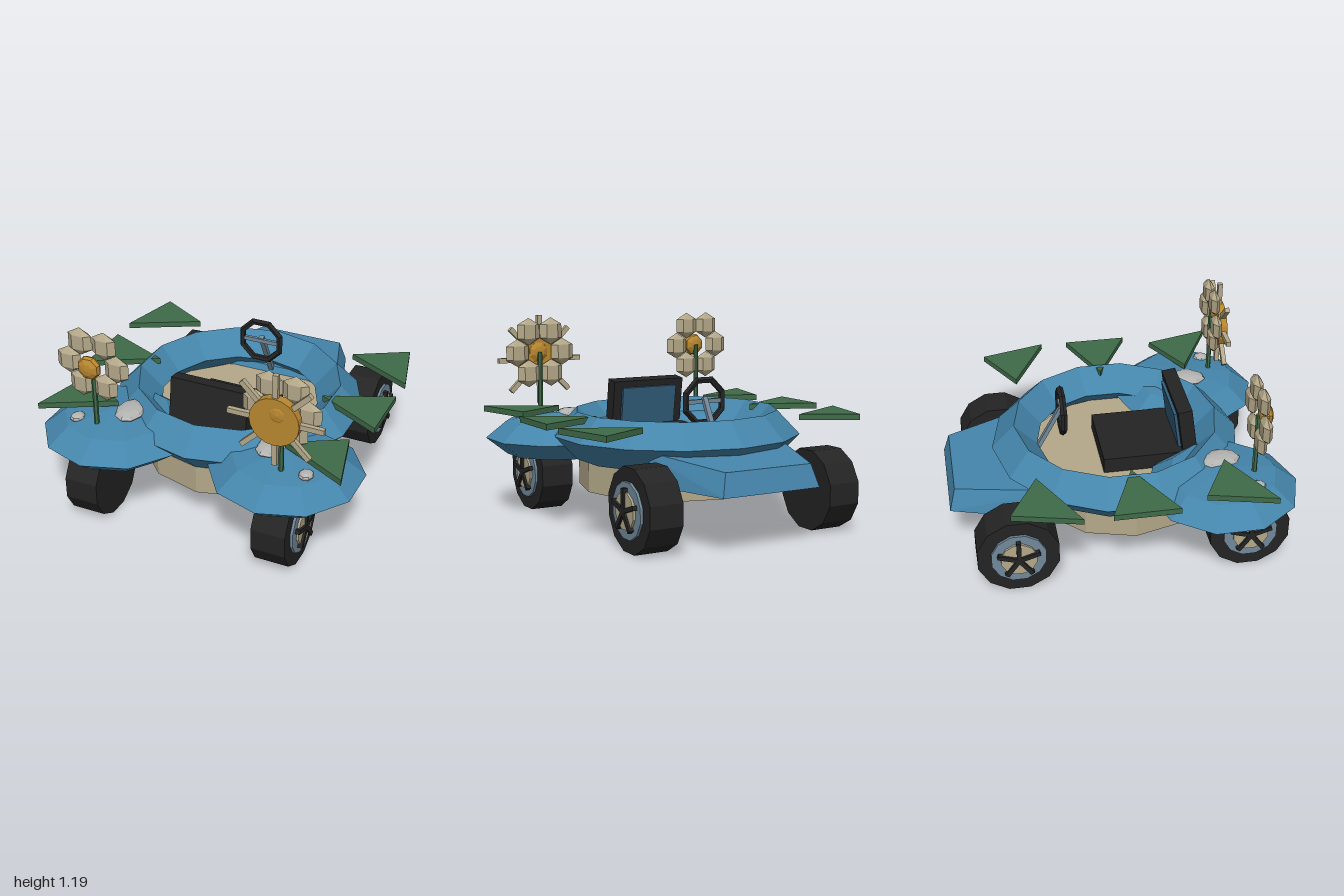
import * as THREE from 'three';
import { ConvexGeometry } from 'three/addons/geometries/ConvexGeometry.js';

const mat = (name, color) => {
  const m = new THREE.MeshStandardMaterial({ color });
  m.name = name;
  return m;
};

export function createModel() {
  const blue = mat('body blue', 0x4586ac);
  const panelBlue = mat('cushion blue', 0x34607f);
  const tan = mat('tan', 0xb5a98a);
  const black = mat('black', 0x242424);
  const green = mat('leaf green', 0x3f6b49);
  const orange = mat('orange', 0xb98830);
  const steel = mat('steel', 0x71899a);
  const grey = mat('pale grey', 0xb4b4b2);

  const car = new THREE.Group();
  car.name = 'flowerCar';

  // Faceted mesh helper
  const add = (parent, name, geo, material, x = 0, y = 0, z = 0) => {
    const g = geo.index ? geo.toNonIndexed() : geo;
    g.computeVertexNormals();
    const mesh = new THREE.Mesh(g, material);
    mesh.name = name;
    mesh.position.set(x, y, z);
    parent.add(mesh);
    return mesh;
  };
  const box = (w, h, d) => new THREE.BoxGeometry(w, h, d);
  const points = (list) => new ConvexGeometry(list.map((p) => new THREE.Vector3(...p)));

  // Body: diamond-section ring over a twelve-sided tub
  add(car, 'bodyRing', new THREE.TorusGeometry(0.605, 0.135, 4, 14)
    .rotateZ(Math.PI / 2).rotateX(Math.PI / 2).scale(1, 0.14 / 0.135, 1), blue, 0, 0.52, 0.02);
  add(car, 'tub', new THREE.CylinderGeometry(0.57, 0.57, 0.23, 12), tan, 0, 0.315, 0.05);

  // Tapered tail
  const tail = [];
  for (const s of [-1, 1]) {
    tail.push([s * 0.49, 0.32, -0.41], [s * 0.31, 0.32, -1.0],
      [s * 0.41, 0.487, -0.54], [s * 0.44, 0.47, -0.47], [s * 0.275, 0.45, -0.965]);
  }
  add(car, 'tail', points(tail), blue);

  // Wheel, with its outer face toward +x
  const makeWheel = (name, x, z) => {
    const wheel = new THREE.Group();
    wheel.name = name;
    const disc = (part, r, from, to, n, m) => add(wheel, part,
      new THREE.CylinderGeometry(r, r, to - from, n).rotateY(Math.PI / n).rotateZ(Math.PI / 2),
      m, (from + to) / 2);
    disc('tire', 0.24, -0.1, 0.1, 12, black);
    disc('rim', 0.16, 0.08, 0.115, 12, steel);
    disc('hub', 0.105, 0.1, 0.128, 12, tan);
    for (let i = 0; i < 5; i++) {
      const a = (i * Math.PI * 2) / 5;
      add(wheel, 'spoke', box(0.03, 0.125, 0.026).translate(0, 0.0625, 0).rotateX(a),
        black, 0.127);
    }
    wheel.position.set(x, 0.2325, z);
    if (x < 0) wheel.rotation.y = Math.PI;
    car.add(wheel);
  };

  // Flower: six blob petals around a centre, on a stem
  const makeFlower = (name, x) => {
    const flower = new THREE.Group();
    flower.name = name;
    for (let i = 0; i < 6; i++) {
      const a = (i * Math.PI) / 3;
      add(flower, 'petal', new THREE.SphereGeometry(0.085, 6, 3).scale(1, 1, 0.42),
        tan, Math.cos(a) * 0.15, Math.sin(a) * 0.15, 0);
    }
    add(flower, 'flowerCentre', new THREE.SphereGeometry(0.073, 8, 6).rotateX(Math.PI / 2)
      .rotateZ(Math.PI / 8).scale(1, 1, 0.55), orange, 0, 0, 0.04);
    add(flower, 'stem', new THREE.CylinderGeometry(0.015, 0.015, 0.4, 6), green, 0, -0.2, 0);
    flower.position.set(x, 0.967, 0.727);
    car.add(flower);
  };

  for (const s of [-1, 1]) {
    const side = s > 0 ? 'left' : 'right';
    // Flattened round front fenders with pale spots on top
    add(car, side + 'Fender', new THREE.SphereGeometry(0.44, 10, 4)
      .rotateY(Math.PI / 2).scale(1, 0.145 / 0.44, 1), blue, s * 0.53, 0.465, 0.555);
    add(car, side + 'LargeSpot', new THREE.SphereGeometry(1, 9, 6).scale(0.085, 0.03, 0.12)
      .rotateY(-s * 0.15), grey, s * 0.445, 0.6, 0.555);
    add(car, side + 'SmallSpot', new THREE.SphereGeometry(1, 8, 6).scale(0.042, 0.025, 0.05),
      grey, s * 0.705, 0.58, 0.71);

    makeWheel(side + 'FrontWheel', s * 0.578, 0.695);
    makeWheel(side + 'RearWheel', s * 0.578, -0.645);
    makeFlower(side + 'Flower', s * 0.567);

    // Three leaves along each side
    const leaves = [
      [[0.52, -0.515], [0.83, -0.69], [0.925, -0.305]],
      [[0.53, 0.02], [0.92, -0.145], [0.92, 0.23]],
      [[0.52, 0.56], [0.83, 0.39], [0.925, 0.775]],
    ];
    for (const leaf of leaves) {
      add(car, side + 'Leaf', points(leaf.flatMap(([x, z]) =>
        [[s * x, 0.615, z], [s * x, 0.65, z]])), green);
    }
  }

  // Sun disc and rays in front of the left flower
  const sun = new THREE.Group();
  sun.name = 'sun';
  add(sun, 'sunDisc', new THREE.CylinderGeometry(0.142, 0.142, 0.05, 20).rotateX(Math.PI / 2), orange);
  for (let i = 0; i < 8; i++) {
    add(sun, 'sunRay', box(0.03, 0.165, 0.028).translate(0, 0.192, 0)
      .rotateZ((i * Math.PI) / 4), tan);
  }
  sun.position.set(0.55, 0.92, 0.773);
  car.add(sun);

  // Seat, facing the tail
  add(car, 'seatBase', box(0.48, 0.12, 0.5), black, 0, 0.465, 0.165);
  const back = new THREE.Group();
  back.name = 'seatBack';
  add(back, 'backrest', box(0.48, 0.34, 0.085), black);
  add(back, 'backCushion', box(0.37, 0.27, 0.03), panelBlue, 0, -0.005, -0.045);
  back.position.set(0, 0.636, 0.415);
  back.rotation.x = -0.14;
  car.add(back);

  // Steering wheel, crossbar and column
  add(car, 'steeringWheel', new THREE.TorusGeometry(0.131, 0.02, 5, 8).rotateZ(Math.PI / 8),
    black, 0, 0.736, -0.3);
  add(car, 'steeringCrossbar', box(0.24, 0.025, 0.02), steel, 0, 0.736, -0.3);
  const column = add(car, 'steeringColumn', box(0.03, 0.36, 0.025), steel, 0, 0.6, -0.39);
  column.rotation.x = 0.5;

  return car;
}
